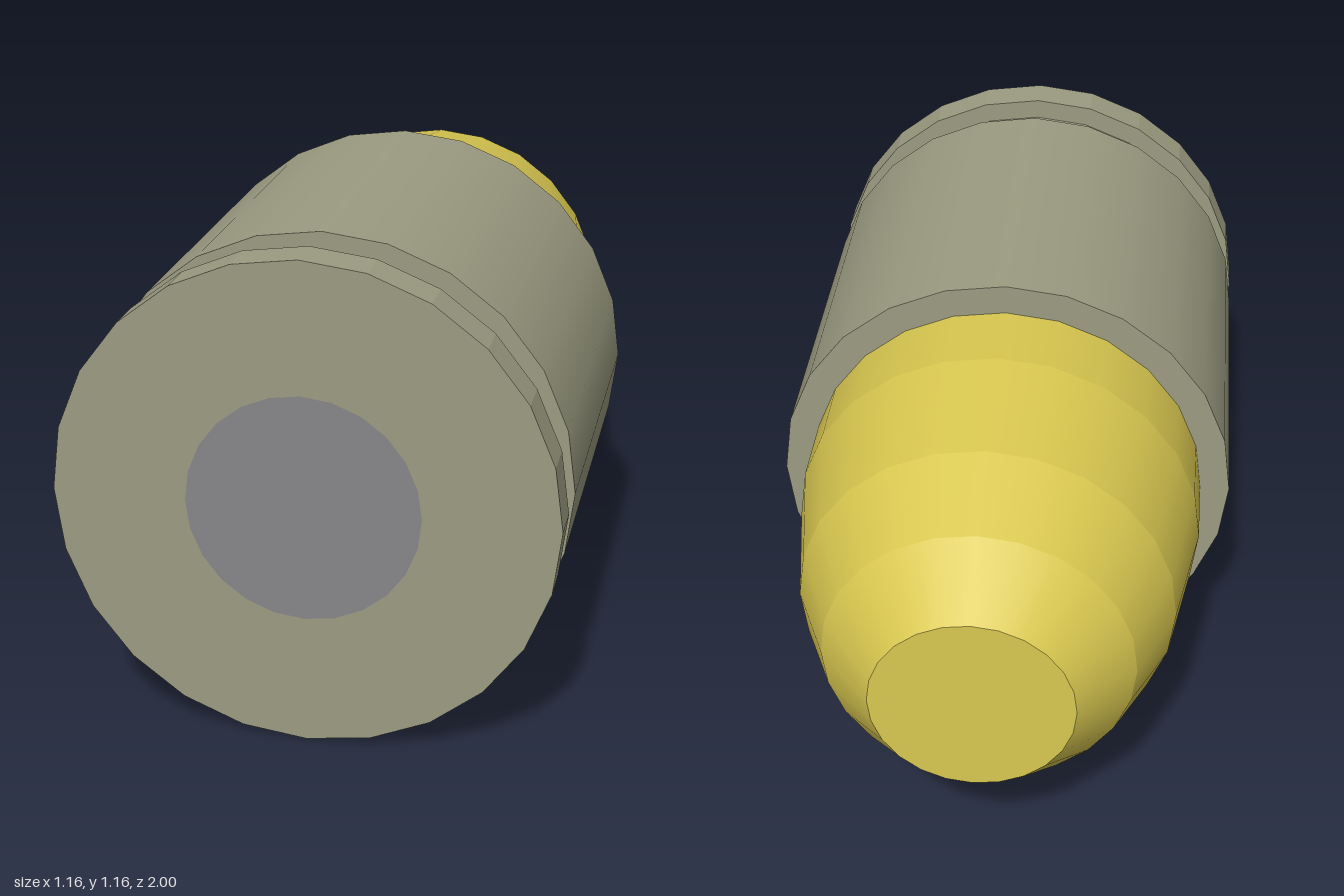
import * as THREE from 'three';
import { mergeGeometries } from 'three/addons/utils/BufferGeometryUtils.js';

const SIDES = 24;
const R = 0.58;        // case radius, also the height of the axis
const BORE = 0.505;    // radius of the seated tip
const GROOVE = 0.528;
const PRIMER = 0.27;

// Open tapered wall along z, from [radius, z] to [radius, z]; z rises from a to b.
function wall([rA, zA], [rB, zB]) {
  return new THREE.CylinderGeometry(rB, rA, zB - zA, SIDES, 1, true)
    .rotateX(Math.PI / 2)
    .translate(0, 0, (zA + zB) / 2);
}

// Flat ring (or disc when inner is 0) at z, facing +z or -z.
function face(inner, outer, z, dir) {
  const g = inner > 0
    ? new THREE.RingGeometry(inner, outer, SIDES)
    : new THREE.CircleGeometry(outer, SIDES);
  if (dir < 0) g.rotateY(Math.PI);
  return g.translate(0, 0, z);
}

export function createModel() {
  const group = new THREE.Group();
  const add = (name, color, parts, flatShading = false) => {
    const material = new THREE.MeshStandardMaterial({ color, flatShading });
    const mesh = new THREE.Mesh(mergeGeometries(parts), material);
    mesh.name = name;
    mesh.position.y = R;
    group.add(mesh);
  };
  const caseColor = 0x9c9c82;

  // Casing with its open mouth around the tip
  add('casing', caseColor, [
    wall([R, -0.125], [R, 0.79]),
    face(BORE, R, -0.125, -1),
    face(GROOVE, R, 0.79, 1),
  ]);

  // Faceted groove and rim at the base
  add('extractorGroove', caseColor, [wall([GROOVE, 0.79], [GROOVE, 0.9])], true);
  add('rim', caseColor, [
    wall([R, 0.9], [R, 1]),
    face(GROOVE, R, 0.9, -1),
    face(PRIMER, R, 1, 1),
  ], true);

  // Disc set flush in the base
  add('primer', 0x87878a, [face(0, PRIMER, 1, 1)]);

  // Tip: bands smooth around, creased between, with a flat nose
  const profile = [[0.24, -1], [0.37, -0.845], [0.455, -0.64], [BORE, -0.33], [BORE, -0.125]];
  const bands = profile.slice(1).map((p, i) => wall(profile[i], p));
  add('tip', 0xd9c850, [...bands, face(0, 0.24, -1, -1)]);

  return group;
}
